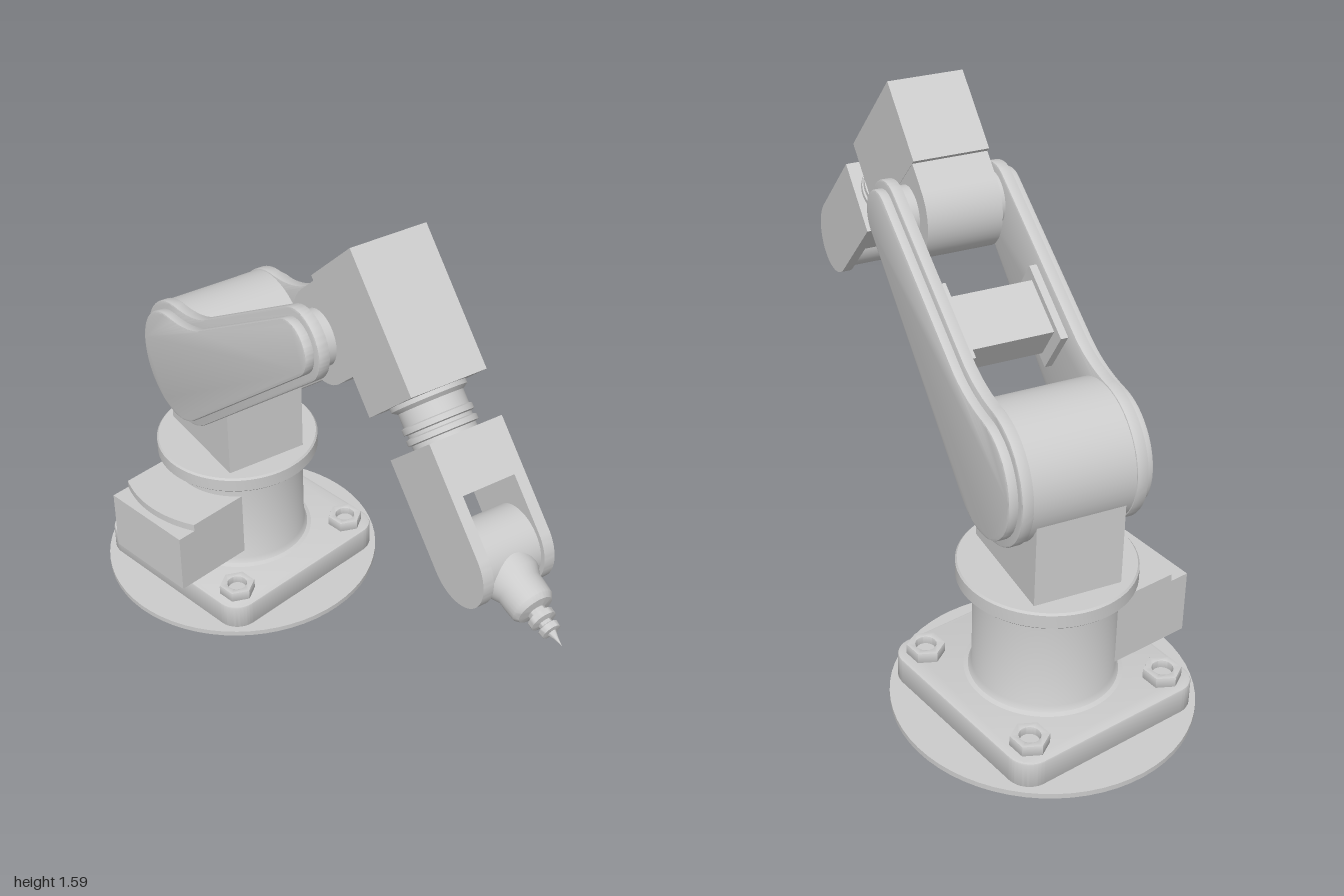
import * as THREE from 'three';
import { toCreasedNormals } from 'three/addons/utils/BufferGeometryUtils.js';

const material = new THREE.MeshStandardMaterial({ color: 0xcccccc });

function add(parent, name, geometry, x = 0, y = 0, z = 0) {
  const mesh = new THREE.Mesh(geometry, material);
  mesh.name = name;
  mesh.position.set(x, y, z);
  parent.add(mesh);
  return mesh;
}

const box = (w, h, d) => new THREE.BoxGeometry(w, h, d);

// Cylinder whose axis runs along z
const drum = (r, length) => new THREE.CylinderGeometry(r, r, length, 48).rotateX(Math.PI / 2);

// Turned part with crisp steps, axis along y
function turned(points, segments = 48) {
  const profile = points.map(([r, y]) => new THREE.Vector2(r, y));
  return toCreasedNormals(new THREE.LatheGeometry(profile, segments), 0.6);
}

// Extrusion from z = 0 to z = depth with an optional inward bevel
function extrude(shape, depth, bevel = 0) {
  const geometry = new THREE.ExtrudeGeometry(shape, {
    depth: depth - 2 * bevel, curveSegments: 24, bevelEnabled: bevel > 0,
    bevelThickness: bevel, bevelSize: bevel, bevelOffset: -bevel, bevelSegments: 2,
  });
  geometry.translate(0, 0, bevel);
  return toCreasedNormals(geometry, 0.5);
}

function roundedSquare(half, r) {
  const s = new THREE.Shape();
  const c = half - r;
  [[c, c], [-c, c], [-c, -c], [c, -c]].forEach(([x, y], i) =>
    s.absarc(x, y, r, i * Math.PI / 2, (i + 1) * Math.PI / 2, false));
  s.closePath();
  return s;
}

function hexNut(r, hole) {
  const s = new THREE.Shape();
  for (let i = 0; i < 6; i++) {
    const a = i * Math.PI / 3;
    s[i ? 'lineTo' : 'moveTo'](r * Math.cos(a), r * Math.sin(a));
  }
  s.closePath();
  s.holes.push(new THREE.Path().absarc(0, 0, hole, 0, Math.PI * 2, true));
  return s;
}

// Side plate outline: large shoulder circle tapering to the elbow circle
function armOutline(length, inset) {
  const R = 0.2 - inset, r = 0.105 - inset;
  const a = Math.acos((R - r) / length);
  const top = r + 0.01;
  const controlX = 0.5 * R + 0.866 * 2 * (0.866 * R - top);
  const s = new THREE.Shape();
  s.moveTo(R * Math.cos(a), -R * Math.sin(a));
  s.lineTo(length + r * Math.cos(a), -r * Math.sin(a));
  s.absarc(length, 0, r, -a, Math.PI / 2, false);
  s.lineTo(controlX + 0.1, top);
  s.quadraticCurveTo(controlX, top, 0.5 * R, 0.866 * R);
  s.absarc(0, 0, R, Math.PI / 3, 2 * Math.PI - a, false);
  return s;
}

// Bar with straight start at u0 and a round end at the origin
function roundEnded(u0, r) {
  const s = new THREE.Shape();
  s.moveTo(u0, -r);
  s.lineTo(0, -r);
  s.absarc(0, 0, r, -Math.PI / 2, Math.PI / 2, false);
  s.lineTo(u0, r);
  s.closePath();
  return s;
}

function buildBase() {
  const base = new THREE.Group();
  base.name = 'base';
  add(base, 'floorDisc', new THREE.CylinderGeometry(0.44, 0.44, 0.016, 64), 0, 0.008, 0);
  add(base, 'basePlate', extrude(roundedSquare(0.318, 0.07), 0.084, 0.006).rotateX(-Math.PI / 2), 0, 0.016, 0);
  for (const x of [-0.24, 0.24]) for (const z of [-0.24, 0.24]) {
    add(base, 'nut', extrude(hexNut(0.056, 0.03), 0.034, 0.003).rotateX(-Math.PI / 2), x, 0.098, z);
    add(base, 'bolt', new THREE.CylinderGeometry(0.028, 0.028, 0.012, 20), x, 0.104, z);
  }
  add(base, 'column', turned([[0.23, 0.099], [0.215, 0.105], [0.205, 0.12], [0.205, 0.426]], 64));
  add(base, 'turntable', turned([[0, 0.425], [0.25, 0.425], [0.255, 0.43], [0.255, 0.47], [0.25, 0.476], [0, 0.476]], 64));

  // Connector housing with a raised lid that ends in an arc
  add(base, 'connectorBox', box(0.315, 0.197, 0.29), 0, 0.248, 0.245);
  const lid = new THREE.Shape();
  const a = Math.asin(0.1575 / 0.365);
  lid.moveTo(-0.1575, -0.1);
  lid.lineTo(-0.1575, -0.365 * Math.cos(a));
  lid.absarc(0, 0, 0.365, -Math.PI / 2 - a, -Math.PI / 2 + a, false);
  lid.lineTo(0.1575, -0.1);
  lid.closePath();
  add(base, 'connectorLid', extrude(lid, 0.025).rotateX(-Math.PI / 2), 0, 0.345, 0);
  return base;
}

function buildUpperArm(length) {
  const arm = new THREE.Group();
  arm.name = 'upperArm';
  // Mirrored side plates, each with a raised cover
  for (const side of [-1, 1]) {
    const layer = (name, inset, z0, z1, bevel) =>
      add(arm, name, extrude(armOutline(length, inset), z1 - z0, bevel), 0, 0, side > 0 ? z0 : -z1);
    layer('sidePlate', 0, 0.15, 0.185, 0.005);
    layer('plateCover', 0.024, 0.18, 0.212, 0.006);
    add(arm, 'braceFlange', box(0.24, 0.16, 0.025), 0.42, 0, side * 0.14);
  }
  add(arm, 'shoulderDrum', drum(0.196, 0.31));
  add(arm, 'crossBrace', box(0.17, 0.12, 0.3), 0.42, 0, 0);
  return arm;
}

function buildForearm() {
  const forearm = new THREE.Group();
  forearm.name = 'forearm';
  const v = 0.214; // height of the forearm axis above the elbow pivot

  // Elbow lug and its washers
  add(forearm, 'elbowLug', drum(0.135, 0.23));
  add(forearm, 'elbowBlock', box(0.27, 0.1, 0.23), 0, 0.05, 0);
  add(forearm, 'elbowPin', drum(0.08, 0.31));

  add(forearm, 'forearmHousing', box(0.4, 0.25, 0.232), 0.05, v, 0);
  add(forearm, 'wristNeck', turned([
    [0.105, -0.005], [0.105, 0.012], [0.09, 0.022], [0.09, 0.06], [0.097, 0.063], [0.097, 0.078],
    [0.088, 0.081], [0.088, 0.09], [0.097, 0.093], [0.097, 0.107], [0.088, 0.11], [0.088, 0.128],
  ]).rotateZ(-Math.PI / 2), 0.25, v, 0);

  // Wrist fork around the wrist pivot
  const wrist = new THREE.Group();
  wrist.name = 'wrist';
  wrist.position.set(0.682, v, 0);
  forearm.add(wrist);
  add(wrist, 'forkBody', box(0.15, 0.228, 0.224), -0.235, 0, 0);
  for (const z of [-0.112, 0.08])
    add(wrist, 'forkCheek', extrude(roundEnded(-0.17, 0.114), 0.032), 0, 0, z);
  add(wrist, 'wristDrum', drum(0.1, 0.162));

  // Stepped tool with a pointed tip
  const tool = add(wrist, 'tool', turned([
    [0, 0.31], [0.006, 0.285], [0.012, 0.268], [0.026, 0.266], [0.028, 0.25], [0.018, 0.246],
    [0.018, 0.236], [0.036, 0.232], [0.036, 0.215], [0.024, 0.211], [0.024, 0.2],
    [0.05, 0.195], [0.06, 0.182], [0.062, 0.15], [0.062, 0.125], [0.074, 0.1], [0.078, 0.04],
  ].reverse(), 32));
  tool.rotation.z = -Math.PI / 2 + THREE.MathUtils.degToRad(47 - 19);
  return forearm;
}

export function createModel() {
  const model = new THREE.Group();
  model.name = 'robotArm';

  const base = buildBase();
  base.position.x = -0.56;
  model.add(base);

  // Everything above the turntable swivels together
  const swivel = new THREE.Group();
  swivel.name = 'swivel';
  swivel.position.x = -0.56;
  swivel.rotation.y = -0.21;
  model.add(swivel);
  add(swivel, 'pedestal', box(0.362, 0.33, 0.264), 0, 0.635, 0);

  const elbow = new THREE.Vector2(0.69, 0.45);
  const upperArm = buildUpperArm(elbow.length());
  upperArm.position.y = 0.8;
  upperArm.rotation.z = elbow.angle();
  swivel.add(upperArm);

  const forearm = buildForearm();
  forearm.position.set(elbow.x, 0.8 + elbow.y, 0);
  forearm.rotation.z = -THREE.MathUtils.degToRad(47);
  swivel.add(forearm);
  return model;
}
